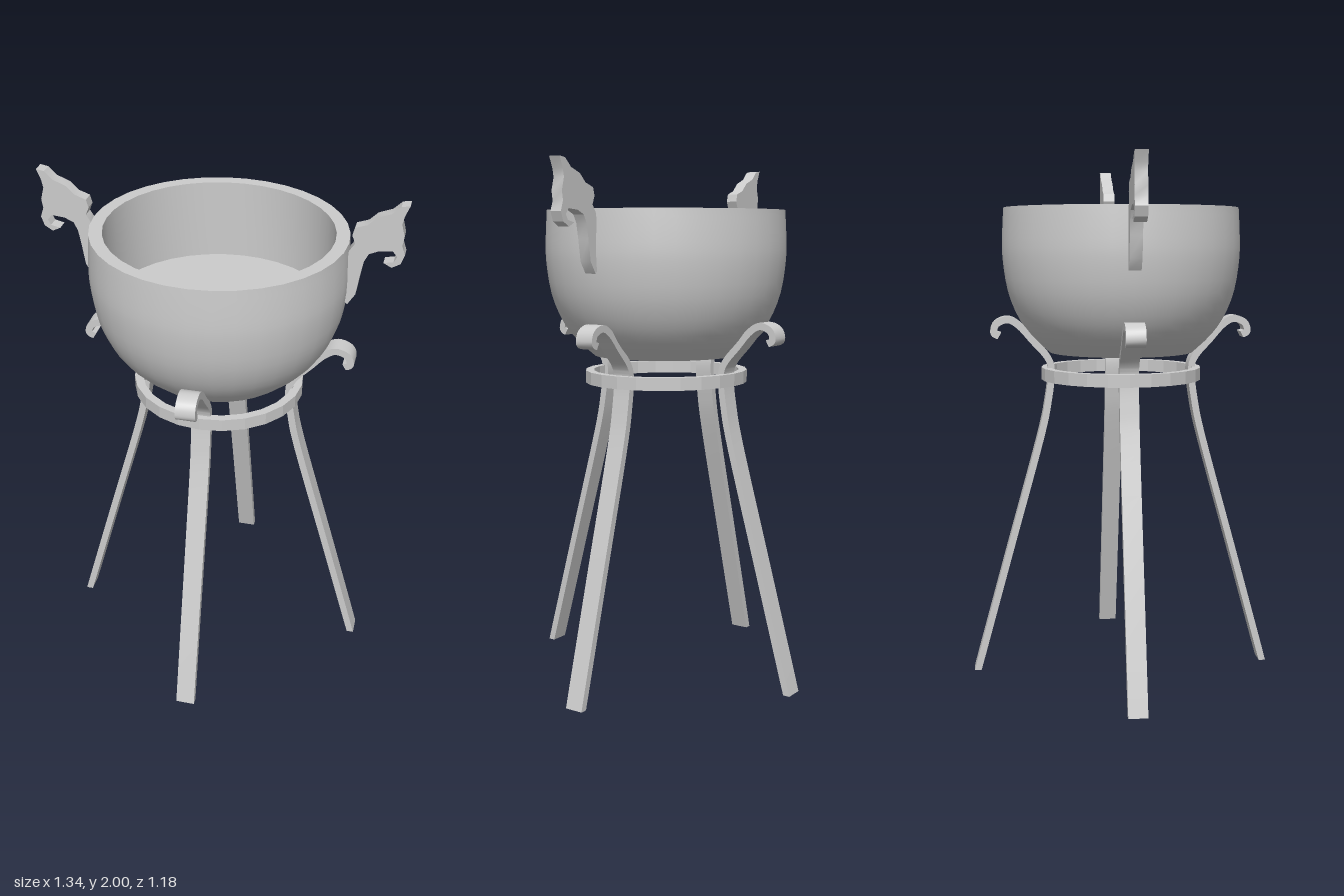
import * as THREE from 'three';
import { toCreasedNormals } from 'three/addons/utils/BufferGeometryUtils.js';

const material = new THREE.MeshStandardMaterial({ color: 0xcccccc });
const toVectors = (pairs) => pairs.map(([x, y]) => new THREE.Vector2(x, y));

function addMesh(parent, name, geometry, crease = 0.6) {
  const mesh = new THREE.Mesh(toCreasedNormals(geometry, crease), material);
  mesh.name = name;
  parent.add(mesh);
  return mesh;
}

// Flat outline in x/y given a width centred on z = 0
function slab(outline, width) {
  const geometry = new THREE.ExtrudeGeometry(new THREE.Shape(outline), { depth: width, bevelEnabled: false });
  return geometry.translate(0, 0, -width / 2);
}

// Outline of a strip of even thickness along a smooth path
function stripOutline(pairs, thickness, steps) {
  const curve = new THREE.SplineCurve(toVectors(pairs));
  const right = [], left = [];
  for (let i = 0; i <= steps; i++) {
    const p = curve.getPoint(i / steps);
    const t = curve.getTangent(i / steps);
    // the foot is cut level with the ground
    const n = i === 0 ? new THREE.Vector2(1, 0) : new THREE.Vector2(t.y, -t.x);
    right.push(p.clone().addScaledVector(n, thickness / 2));
    left.unshift(p.clone().addScaledVector(n, -thickness / 2));
  }
  return [...right, ...left];
}

export function createModel() {
  const model = new THREE.Group();
  model.name = 'bowlOnStand';

  // Thick bowl with a flat base and a straight-sided hollow
  const outer = new THREE.SplineCurve(toVectors([
    [0.29, 1.272], [0.36, 1.335], [0.415, 1.41], [0.455, 1.51], [0.474, 1.63], [0.475, 1.72], [0.469, 1.828],
  ])).getPoints(16);
  const bowlProfile = [
    new THREE.Vector2(0, 1.272), ...outer,
    ...toVectors([[0.42, 1.828], [0.42, 1.52], [0, 1.52]]),
  ];
  addMesh(model, 'bowl', new THREE.LatheGeometry(bowlProfile, 36)).scale.z = 0.967;

  // Flat hoop holding the legs
  const hoopProfile = toVectors([[0.293, 1.165], [0.326, 1.165], [0.326, 1.213], [0.293, 1.213], [0.293, 1.165]]);
  addMesh(model, 'hoop', new THREE.LatheGeometry(hoopProfile, 24), 0.2).scale.z = 0.96;

  // Four strap legs ending in outward hooks
  const legPath = [
    [0.59, 0], [0.458, 0.47], [0.328, 0.93], [0.293, 1.09], [0.281, 1.2], [0.297, 1.255],
    [0.355, 1.32], [0.405, 1.375], [0.45, 1.4], [0.495, 1.385], [0.507, 1.35], [0.485, 1.338],
  ];
  const legGeometry = slab(stripOutline(legPath, 0.027, 55), 0.073);
  ['leftLeg', 'backLeg', 'rightLeg', 'frontLeg'].forEach((name, i) => {
    const leg = addMesh(model, name, legGeometry);
    leg.rotation.y = i * Math.PI / 2;
    if (i % 2) leg.scale.x = 0.98;
  });

  // Two animal-head handles facing outwards
  const headOutline = toVectors([
    [0.67, 2], [0.64, 1.995], [0.61, 1.965], [0.56, 1.945], [0.53, 1.915], [0.488, 1.9], [0.48, 1.87],
    [0.492, 1.84], [0.472, 1.81], [0.465, 1.7], [0.465, 1.61], [0.478, 1.597], [0.505, 1.64],
    [0.517, 1.72], [0.527, 1.775], [0.542, 1.805], [0.575, 1.82], [0.625, 1.825], [0.641, 1.805],
    [0.63, 1.785], [0.595, 1.777], [0.625, 1.762], [0.655, 1.78], [0.667, 1.815], [0.655, 1.85],
    [0.66, 1.885], [0.648, 1.93], [0.654, 1.96],
  ]);
  const headGeometry = slab(headOutline, 0.046);
  addMesh(model, 'leftHandle', headGeometry);
  addMesh(model, 'rightHandle', headGeometry).rotation.y = Math.PI;

  return model;
}
